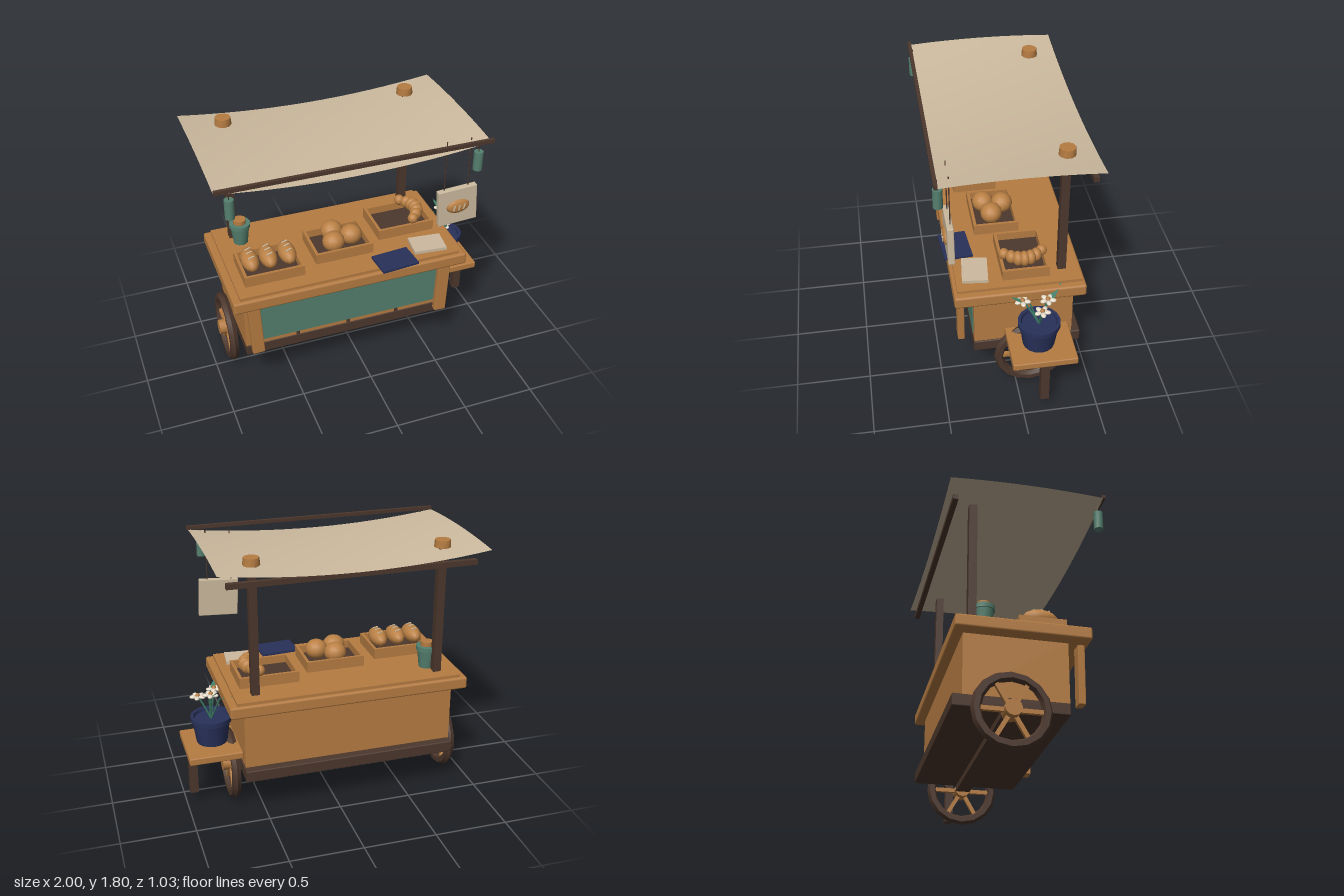
import * as THREE from 'three';
import { toCreasedNormals } from 'three/addons/utils/BufferGeometryUtils.js';
import { RoundedBoxGeometry } from 'three/addons/geometries/RoundedBoxGeometry.js';

const flat = (name, color) => {
  const m = new THREE.MeshStandardMaterial({ color });
  m.name = name;
  return m;
};

export function createModel() {
  const root = new THREE.Group();
  root.name = 'marketCart';
  const wood = flat('wood', 0xb67c42), dark = flat('darkWood', 0x4c372c);
  const teal = flat('teal', 0x55806f), navy = flat('navy', 0x28315a);
  const cream = flat('cream', 0xcdbb9f), crust = flat('crust', 0xbb8145);
  const petal = flat('petal', 0xece1cf), leafGreen = flat('leaf', 0x3f7f69);
  const cloth = flat('canopyCloth', 0xcdbb9f);
  cloth.side = THREE.DoubleSide;
  leafGreen.side = THREE.DoubleSide;

  const group = (name, parent = root) => {
    const g = new THREE.Group();
    g.name = name;
    parent.add(g);
    return g;
  };
  const add = (name, geo, mat, x, y, z, parent = root) => {
    const m = new THREE.Mesh(geo, mat);
    m.name = name;
    m.position.set(x, y, z);
    parent.add(m);
    return m;
  };
  // Box given by its extents
  const box = (name, mat, x0, x1, y0, y1, z0, z1, parent = root, bevel = 0) => {
    const s = [x1 - x0, y1 - y0, z1 - z0];
    const geo = bevel ? new RoundedBoxGeometry(...s, 1, bevel) : new THREE.BoxGeometry(...s);
    return add(name, geo, mat, (x0 + x1) / 2, (y0 + y1) / 2, (z0 + z1) / 2, parent);
  };
  const cyl = (name, mat, rTop, rBottom, h, x, y, z, parent = root, sides = 12) =>
    add(name, toCreasedNormals(new THREE.CylinderGeometry(rTop, rBottom, h, sides), 0.7), mat, x, y, z, parent);
  const ball = (name, mat, rx, ry, rz, x, y, z, parent = root) => {
    const m = add(name, new THREE.SphereGeometry(1, 14, 10), mat, x, y, z, parent);
    m.scale.set(rx, ry, rz);
    return m;
  };

  // Cart body, counter and base
  box('cartBody', wood, -0.83, 0.63, 0.36, 0.77, -0.39, 0.275);
  box('frontPanel', teal, -0.78, 0.58, 0.395, 0.765, 0.272, 0.281);
  box('counter', wood, -0.92, 0.73, 0.765, 0.85, -0.455, 0.41, root, 0.015);
  box('counterTop', wood, -0.87, 0.68, 0.845, 0.87, -0.435, 0.385);
  box('base', dark, -0.83, 0.64, 0.283, 0.365, -0.45, 0.28, root, 0.008);
  box('axleBeam', dark, -0.83, 0.64, 0.24, 0.285, -0.15, -0.05);
  for (const x of [-0.46, -0.09, 0.27]) box('panelPeg', dark, x - 0.012, x + 0.012, 0.365, 0.395, 0.272, 0.281);
  for (const s of [-1, 1]) {
    const x = -0.1 + s * 0.675;
    box('frontPillar', wood, x - 0.042, x + 0.042, 0.375, 0.775, 0.338, 0.384, root, 0.006).rotation.z = -s * 0.045;
  }

  // Spoked wheels
  for (const x of [-0.88, 0.68]) {
    const wheel = group('wheel');
    wheel.position.set(x, 0.26, -0.1);
    const rim = toCreasedNormals(new THREE.TorusGeometry(0.2175, 0.033, 6, 16), 0.5);
    add('rim', rim, dark, 0, 0, 0, wheel).rotation.y = Math.PI / 2;
    cyl('hub', wood, 0.053, 0.053, 0.115, 0, 0, 0, wheel).rotation.z = Math.PI / 2;
    for (let i = 0; i < 3; i++)
      add('spokePair', new THREE.BoxGeometry(0.025, 0.028, 0.4), wood, 0, 0, 0, wheel).rotation.x = i * Math.PI / 3;
  }

  // Posts, rods and sagging canopy
  for (const x of [-0.738, 0.537]) {
    box('post', dark, x - 0.027, x + 0.027, 0.86, 1.78, -0.347, -0.293);
    cyl('postCap', wood, 0.052, 0.056, 0.05, x, 1.783, -0.325, root, 10);
  }
  box('frontRod', dark, -1, 0.8, 1.768, 1.793, 0.488, 0.512);
  box('backRod', dark, -0.92, 0.73, 1.667, 1.702, -0.483, -0.448);
  const canopy = new THREE.PlaneGeometry(1.79, 1.01, 16, 8).rotateX(-Math.PI / 2);
  const p = canopy.attributes.position;
  for (let i = 0; i < p.count; i++) {
    const u = p.getX(i) / 0.895, v = p.getZ(i) / 0.505;
    p.setY(i, 1.768 + 0.018 * (1 - v * v) - 0.06 * (1 - u * u));
  }
  canopy.computeVertexNormals();
  add('canopy', canopy, cloth, -0.105, 0, -0.01);

  // Hanging lanterns
  for (const x of [-0.91, 0.708]) {
    cyl('lantern', teal, 0.031, 0.031, 0.13, x, 1.645, 0.485);
    cyl('lanternCord', dark, 0.004, 0.004, 0.07, x, 1.74, 0.485, root, 5);
  }

  // Hanging bread sign
  const sign = group('sign');
  sign.position.set(0.615, 1.29, 0.42);
  sign.rotation.z = 0.055;
  add('signBoard', new RoundedBoxGeometry(0.275, 0.265, 0.042, 1, 0.006), cream, 0, 0, 0, sign);
  ball('signLoaf', crust, 0.082, 0.05, 0.022, 0, 0, 0.021, sign);
  for (const x of [-0.035, 0, 0.035])
    add('signScore', new THREE.BoxGeometry(0.01, 0.04, 0.008), cream, x, 0, 0.04, sign).rotation.z = -0.3;
  for (const x of [0.52, 0.687]) cyl('signCord', dark, 0.004, 0.004, 0.36, x, 1.595, 0.415, root, 5);

  // Bread trays
  const tray = (x, z) => {
    const g = group('tray');
    g.position.set(x, 0.87, z);
    box('trayFloor', dark, -0.19, 0.19, 0, 0.02, -0.14, 0.14, g);
    for (const s of [-1, 1]) {
      add('trayLongWall', new THREE.BoxGeometry(0.41, 0.075, 0.02), wood, 0, 0.0375, s * 0.145, g);
      add('trayShortWall', new THREE.BoxGeometry(0.02, 0.075, 0.27), wood, s * 0.195, 0.0375, 0, g);
    }
    return g;
  };
  const loaves = tray(-0.6, 0.125);
  for (const x of [-0.13, -0.005, 0.127]) {
    ball('longLoaf', crust, 0.06, 0.06, 0.115, x, 0.1, 0, loaves);
    for (const z of [-0.05, 0, 0.05])
      add('loafScore', new THREE.BoxGeometry(0.045, 0.008, 0.01), cream, x, 0.158 - Math.abs(z) * 0.12, z, loaves).rotation.y = 0.4;
  }
  const rounds = tray(-0.085, 0.045);
  for (const [x, z] of [[-0.05, 0.06], [0.09, 0.02], [-0.02, -0.07]])
    ball('roundLoaf', crust, 0.078, 0.07, 0.075, x, 0.092, z, rounds);
  const pastries = tray(0.413, -0.073);
  for (let i = 0; i < 7; i++) {
    const t = i / 3 - 1, r = 0.05 - 0.014 * t * t;
    ball('pastrySegment', crust, r, r + 0.002, 0.036, 0.13 - 0.07 * t * t, 0.105, -t * 0.125, pastries);
  }

  // Jar with stopper, folded cloths
  cyl('jar', teal, 0.066, 0.05, 0.13, -0.7, 0.935, -0.235);
  cyl('jarRim', teal, 0.074, 0.074, 0.03, -0.7, 1.013, -0.235);
  cyl('jarStopper', wood, 0.044, 0.044, 0.032, -0.7, 1.042, -0.235);
  box('navyCloth', navy, 0.09, 0.355, 0.87, 0.886, 0.25, 0.44).rotation.y = 0.08;
  box('creamCloth', cream, 0.385, 0.615, 0.87, 0.892, 0.165, 0.335).rotation.y = -0.1;

  // Side shelf
  box('shelf', wood, 0.635, 0.995, 0.418, 0.468, -0.357, 0.072, root, 0.008);
  box('shelfLeg', dark, 0.92, 0.977, 0.1, 0.42, -0.174, -0.117);

  // Flower pot
  const profile = [[0, 0.468], [0.105, 0.468], [0.128, 0.625], [0.14, 0.625], [0.14, 0.658], [0.12, 0.658], [0.115, 0.635], [0, 0.635]];
  const pot = new THREE.LatheGeometry(profile.map(a => new THREE.Vector2(...a)), 16);
  add('flowerPot', toCreasedNormals(pot, 0.6), navy, 0.802, 0, -0.128);

  // Flowers on stems
  for (const [x, y, z] of [[0.885, 0.81, -0.13], [0.805, 0.835, -0.18], [0.755, 0.8, -0.025]]) {
    const f = group('flower');
    const path = new THREE.QuadraticBezierCurve3(
      new THREE.Vector3(0.802, 0.63, -0.128),
      new THREE.Vector3((x + 0.802) / 2, 0.74, (z - 0.128) / 2),
      new THREE.Vector3(x, y, z));
    add('stem', new THREE.TubeGeometry(path, 6, 0.007, 6), leafGreen, 0, 0, 0, f);
    ball('flowerCentre', wood, 0.016, 0.014, 0.016, x, y + 0.008, z, f);
    for (let i = 0; i < 5; i++) {
      const a = i * Math.PI * 0.4;
      const m = ball('petal', petal, 0.024, 0.012, 0.017, x + 0.031 * Math.cos(a), y, z + 0.031 * Math.sin(a), f);
      m.rotation.y = -a;
    }
  }

  // Leaves: flattened diamonds with their own stalks
  const outline = new THREE.Shape();
  outline.moveTo(0, 0);
  outline.quadraticCurveTo(0.032, 0.06, 0, 0.13);
  outline.quadraticCurveTo(-0.032, 0.06, 0, 0);
  for (const [x, y, z, tx, ty, tz] of [[0.75, 0.81, -0.2, 0.66, 0.87, -0.32], [0.78, 0.79, -0.07, 0.74, 0.83, 0.05], [0.815, 0.8, -0.17, 0.77, 0.88, -0.25]]) {
    const from = new THREE.Vector3(x, y, z), tip = new THREE.Vector3(tx, ty, tz);
    const stalk = new THREE.LineCurve3(new THREE.Vector3(0.802, 0.63, -0.128), from);
    add('leafStalk', new THREE.TubeGeometry(stalk, 1, 0.006, 6), leafGreen, 0, 0, 0);
    // Build a frame whose y axis runs along the leaf and whose face looks upward
    const along = tip.clone().sub(from).normalize();
    const across = new THREE.Vector3().crossVectors(along, new THREE.Vector3(0, 1, 0)).normalize();
    const leaf = add('leaf', new THREE.ShapeGeometry(outline, 5), leafGreen, x, y, z);
    leaf.quaternion.setFromRotationMatrix(
      new THREE.Matrix4().makeBasis(across, along, new THREE.Vector3().crossVectors(across, along)));
  }
  return root;
}
